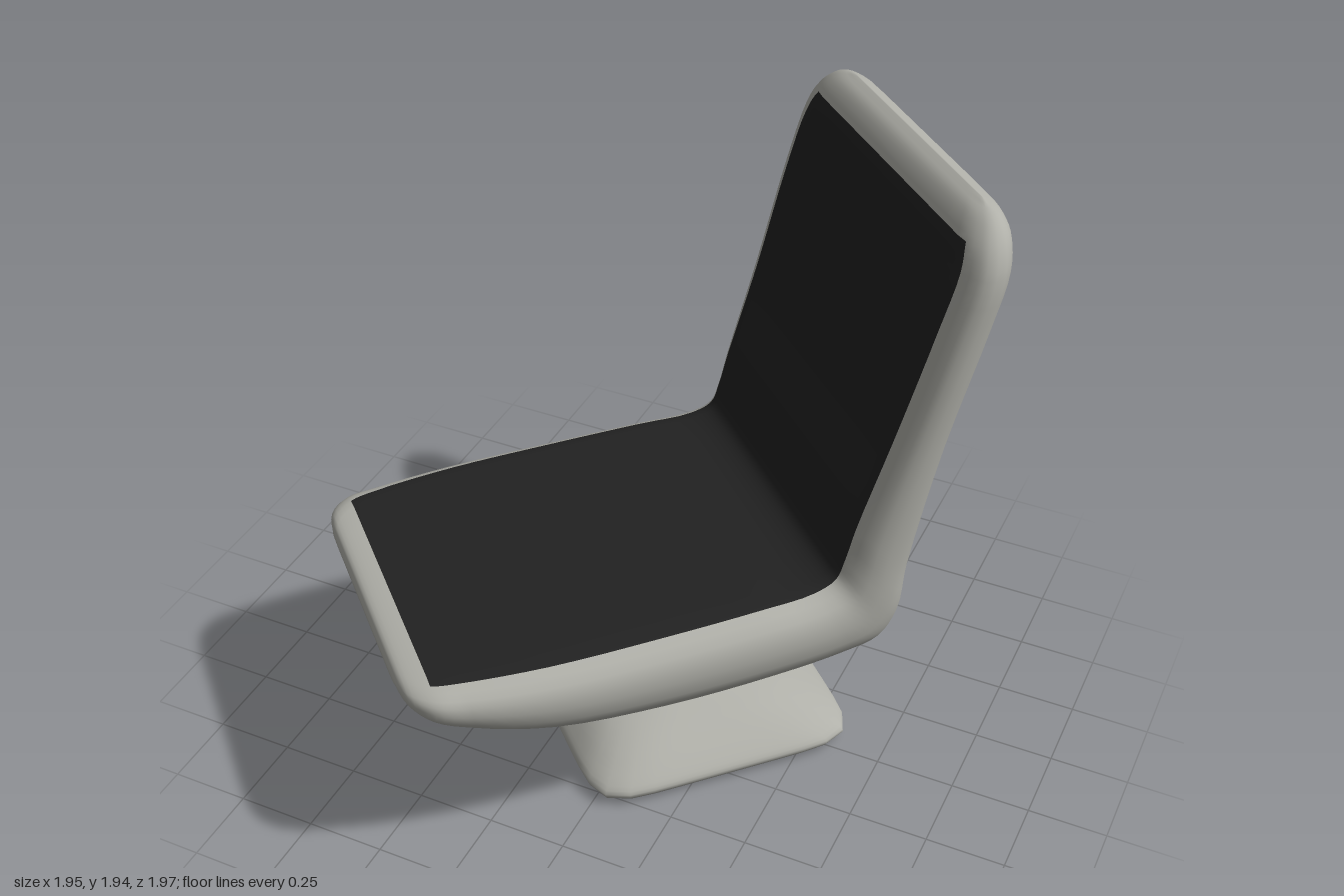
import * as THREE from 'three';

const V = (x, y, z) => new THREE.Vector3(x, y, z);

// Skin a list of closed rings; isPad(i, j) picks the quads that take the second material
function loft(rings, materials, isPad = () => false) {
  const n = rings[0].length, pos = [], faces = [[], []];
  rings.forEach(r => r.forEach(p => pos.push(p.x, p.y, p.z)));
  for (let i = 0; i < rings.length - 1; i++) {
    for (let j = 0; j < n; j++) {
      const k = (j + 1) % n;
      const a = i * n + j, b = i * n + k, c = b + n, d = a + n;
      faces[isPad(i, j) ? 1 : 0].push(a, b, c, a, c, d);
    }
  }
  // end caps
  [0, rings.length - 1].forEach((i, end) => {
    const c = V(0, 0, 0);
    rings[i].forEach(p => c.addScaledVector(p, 1 / n));
    const ci = pos.length / 3;
    pos.push(c.x, c.y, c.z);
    for (let j = 0; j < n; j++) {
      const a = i * n + j, b = i * n + (j + 1) % n;
      faces[0].push(ci, ...(end ? [a, b] : [b, a]));
    }
  });
  const g = new THREE.BufferGeometry();
  g.setAttribute('position', new THREE.Float32BufferAttribute(pos, 3));
  g.setIndex([...faces[0], ...faces[1]]);
  g.addGroup(0, faces[0].length, 0);
  if (faces[1].length) g.addGroup(faces[0].length, faces[1].length, 1);
  g.computeVertexNormals();
  return new THREE.Mesh(g, materials);
}

// Smooth samples through control points, SUB steps per span
const SUB = 4;
const sample = pts => new THREE.CatmullRomCurve3(pts).getPoints((pts.length - 1) * SUB);

// Stations from the front lip, through the crease, to the top of the back:
// [upper z, upper y, lower z, lower y, half width]
const STATIONS = [
  [0.975, 0.685, 0.975, 0.67, 0.36],
  [0.955, 0.71, 0.955, 0.63, 0.46],
  [0.89, 0.722, 0.90, 0.585, 0.525],
  [0.80, 0.726, 0.78, 0.53, 0.55],
  [0.55, 0.73, 0.55, 0.465, 0.58],
  [0.20, 0.735, 0.20, 0.43, 0.585],
  [-0.10, 0.74, -0.15, 0.43, 0.58],
  [-0.28, 0.745, -0.40, 0.445, 0.57],
  [-0.35, 0.775, -0.53, 0.47, 0.565],
  [-0.375, 0.84, -0.59, 0.56, 0.565],
  [-0.405, 0.95, -0.61, 0.75, 0.565],
  [-0.50, 1.25, -0.69, 1.20, 0.575],
  [-0.60, 1.60, -0.79, 1.60, 0.59],
  [-0.655, 1.78, -0.83, 1.77, 0.585],
  [-0.68, 1.855, -0.835, 1.86, 0.55],
  [-0.72, 1.91, -0.815, 1.91, 0.49],
  [-0.765, 1.935, -0.77, 1.935, 0.40],
];
const PAD_FROM = 2 * SUB, PAD_TO = 14 * SUB;

function buildShell(materials) {
  const upper = sample(STATIONS.map(s => V(s[4], s[1], s[0])));
  const lower = sample(STATIONS.map(s => V(s[4], s[3], s[2])));
  // width fractions across the upper side; the pad stops at 0.87
  const half = [0.3, 0.6, 0.8, 0.87, 0.92, 0.96, 0.985];
  const across = [-1, ...half.map(f => -f).reverse(), 0, ...half, 1];
  const bulge = (f, r) => {
    const t = Math.max(0, (Math.abs(f) - 1 + r) / r);
    return Math.sqrt(Math.max(0, 1 - t * t));
  };
  const rings = upper.map((u, i) => {
    const l = lower[i], mid = u.clone().lerp(l, 0.42);
    const at = (f, target, r) => {
      const p = mid.clone().lerp(target, bulge(f, r));
      p.x = f * u.x - 0.01;
      return p;
    };
    const top = across.map(f => at(f, u, 0.2));
    const under = across.slice(1, -1).reverse().map(f => at(f, l, 0.28));
    return [...top, ...under];
  });
  const first = across.indexOf(-0.87), last = across.indexOf(0.87);
  return loft(rings, materials,
    (i, j) => i >= PAD_FROM && i < PAD_TO && j >= first && j < last);
}

// Square foot that narrows to a round neck and flares under the seat: [half width, y, centre z]
const FOOT = [
  [0.05, 0, -0.05], [0.38, 0.003, -0.05], [0.43, 0.015, -0.05], [0.445, 0.045, -0.05],
  [0.41, 0.085, -0.045], [0.31, 0.15, -0.02], [0.195, 0.2, 0], [0.155, 0.25, 0.01],
  [0.15, 0.31, 0.01], [0.19, 0.37, 0.01], [0.29, 0.41, 0.02], [0.44, 0.45, 0.03],
];

function buildPedestal(material) {
  const N = 48;
  const rings = sample(FOOT.map(f => V(...f))).map(({ x: r, y, z }) => {
    const e = y < 0.22 ? THREE.MathUtils.lerp(8, 2, Math.min(1, Math.max(0, y - 0.04) / 0.17)) : 2;
    return Array.from({ length: N }, (_, j) => {
      const a = (j / N) * Math.PI * 2, c = Math.cos(a), s = Math.sin(a);
      const k = r / Math.pow(Math.abs(c) ** e + Math.abs(s) ** e, 1 / e);
      return V(c * k, y, z - s * k);
    });
  });
  return loft(rings, [material]);
}

export function createModel() {
  const shellGrey = new THREE.MeshStandardMaterial({ color: 0xb0b0a9 });
  shellGrey.name = 'shellGrey';
  const padBlack = new THREE.MeshStandardMaterial({ color: 0x222222 });
  padBlack.name = 'padBlack';

  const shell = buildShell([shellGrey, padBlack]);
  shell.name = 'seatAndBackrest';
  const pedestal = buildPedestal(shellGrey);
  pedestal.name = 'pedestal';

  // the chair is turned to face its front right corner
  const chair = new THREE.Group();
  chair.name = 'chair';
  chair.add(shell, pedestal);
  chair.rotation.y = THREE.MathUtils.degToRad(-44);

  const model = new THREE.Group();
  model.name = 'swivelChair';
  model.add(chair);
  return model;
}
